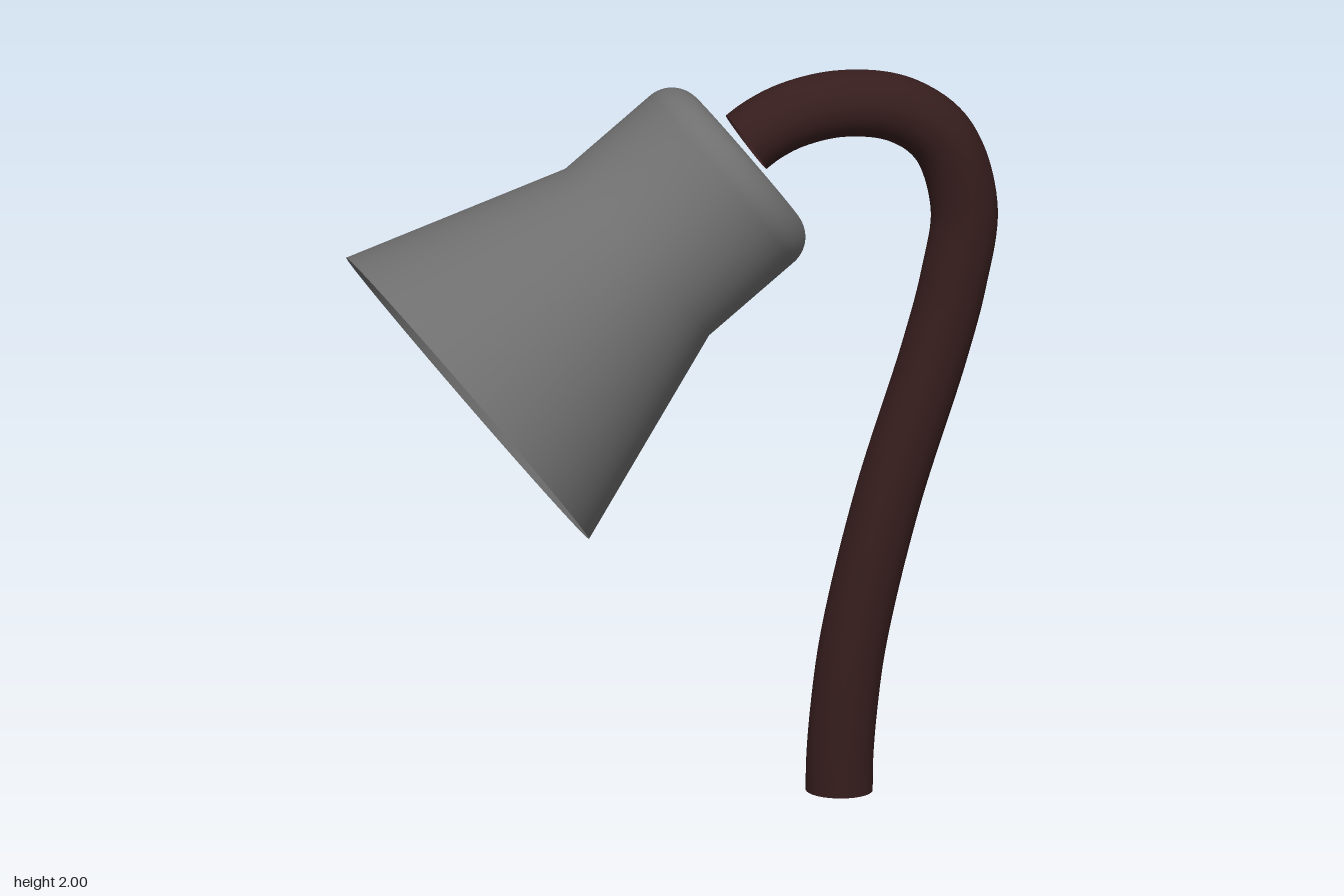
import * as THREE from 'three';

export function createModel() {
  const model = new THREE.Group();
  const grey = new THREE.MeshStandardMaterial({ color: 0x6f6f6f, side: THREE.DoubleSide });
  const brown = new THREE.MeshStandardMaterial({ color: 0x361d1d, side: THREE.DoubleSide });

  // Lampshade: flared cone, straight neck, rounded shoulder and flat top, open at the rim
  const profile = new THREE.Path();
  profile.moveTo(0.498, 0);
  profile.lineTo(0.295, 0.6);
  profile.lineTo(0.295, 0.9);
  profile.absarc(0.205, 0.9, 0.09, 0, Math.PI / 2, false);
  profile.lineTo(0.001, 0.99);
  const shade = new THREE.Mesh(new THREE.LatheGeometry(profile.getPoints(8), 64), grey);
  shade.name = 'lampshade';
  shade.position.set(-0.58, 1.165, 0);
  shade.rotation.z = -0.899;
  model.add(shade);

  // Stem: a bent open tube from the floor over to the back of the shade
  const path = new THREE.CatmullRomCurve3([
    [0.451, 0], [0.452, 0.08], [0.463, 0.22], [0.491, 0.42], [0.584, 0.8], [0.714, 1.2], [0.768, 1.4],
    [0.797, 1.6], [0.738, 1.79], [0.62, 1.882], [0.46, 1.91], [0.32, 1.888], [0.235, 1.85], [0.193, 1.821],
  ].map(([x, y]) => new THREE.Vector3(x, y, -0.005)));
  const stem = new THREE.Mesh(new THREE.TubeGeometry(path, 120, 0.09, 32, false), brown);
  stem.name = 'stem';
  model.add(stem);

  return model;
}
